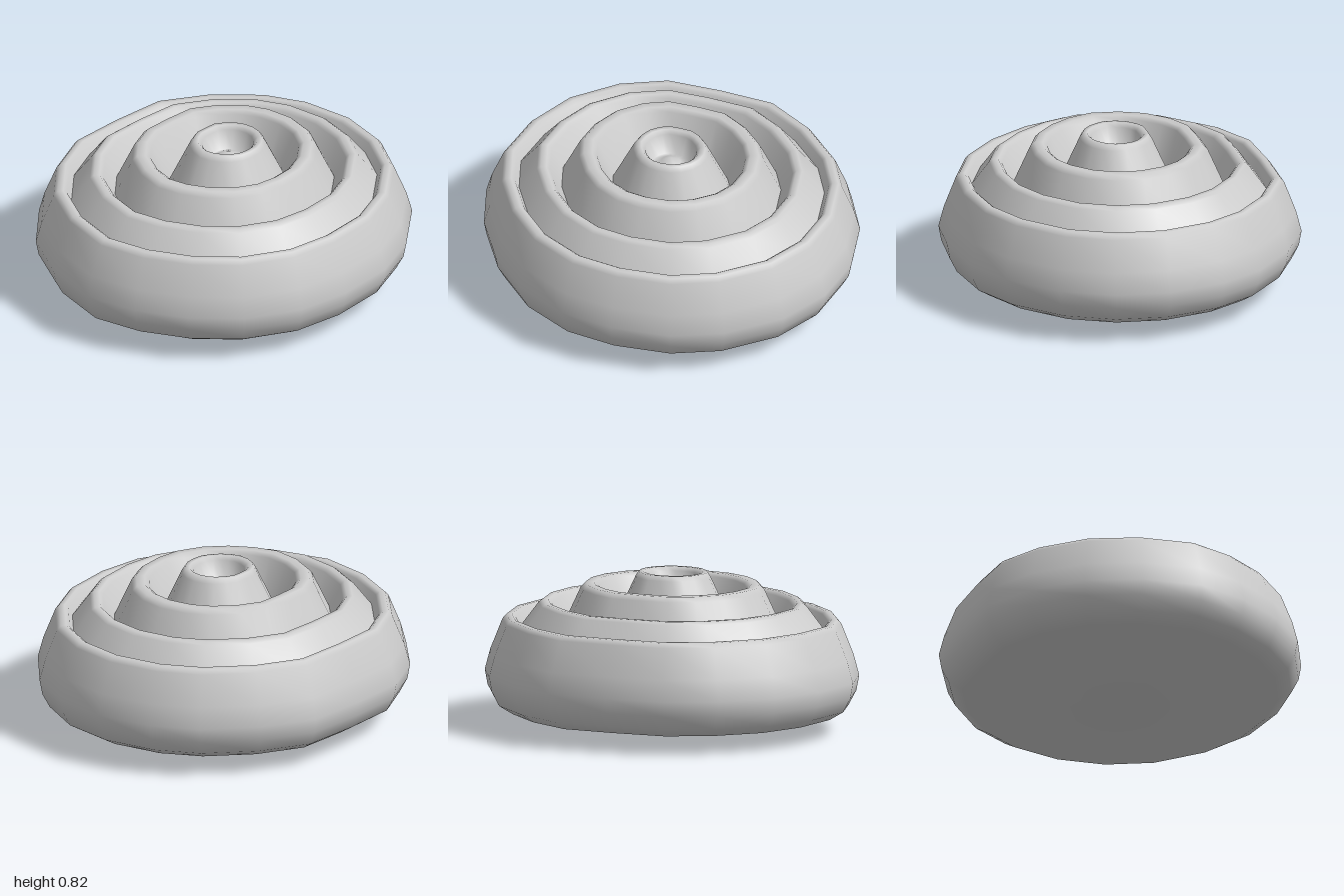
import * as THREE from 'three';
import { mergeVertices } from 'three/addons/utils/BufferGeometryUtils.js';

// Slightly irregular 20-sided plan outline [x, z], from the front round by +x
const OUTLINE = [
  [0, 0.945], [0.28, 0.89], [0.57, 0.76], [0.78, 0.57], [0.95, 0.28],
  [1, -0.01], [0.95, -0.3], [0.8, -0.57], [0.61, -0.75], [0.32, -0.89],
  [0.02, -0.95], [-0.3, -0.86], [-0.6, -0.75], [-0.81, -0.55], [-0.96, -0.27],
  [-1, 0.03], [-0.95, 0.35], [-0.79, 0.58], [-0.57, 0.77], [-0.31, 0.9],
];

// Sweep a [radius, y] profile round the outline, with one smooth seam
function sweep(profile, dx = 0, dz = 0) {
  const sides = OUTLINE.length;
  const points = profile.map(([r, y]) => new THREE.Vector2(r, y));
  const geo = new THREE.LatheGeometry(points, sides);
  const pos = geo.attributes.position;
  for (let i = 0; i <= sides; i++) {
    const [ox, oz] = OUTLINE[i % sides];
    profile.forEach(([r, y], j) => {
      pos.setXYZ(i * profile.length + j, r * ox + dx, y, r * oz + dz);
    });
  }
  geo.deleteAttribute('uv');
  geo.deleteAttribute('normal');
  const merged = mergeVertices(geo, 1e-5);
  merged.computeVertexNormals();
  return merged;
}

export function createModel() {
  const group = new THREE.Group();
  const material = new THREE.MeshStandardMaterial({ color: 0xcccccc, side: THREE.DoubleSide });
  const add = (name, geometry) => {
    const mesh = new THREE.Mesh(geometry, material);
    mesh.name = name;
    group.add(mesh);
  };

  // Shallow dished base, bulging side and thin rolled rim
  add('outerBowl', sweep([
    [0, 0], [0.2, 0.003], [0.45, 0.035], [0.65, 0.065], [0.87, 0.09],
    [0.945, 0.135], [0.985, 0.21], [1, 0.29], [0.97, 0.4], [0.905, 0.56],
    [0.885, 0.583], [0.855, 0.585], [0.835, 0.57], [0.79, 0.48],
  ]));

  // Stepped concentric ridges, their feet meeting in narrow grooves
  add('outerRidge', sweep([
    [0.83, 0.5], [0.715, 0.65], [0.695, 0.665], [0.665, 0.665], [0.645, 0.645], [0.55, 0.48],
  ], 0, 0.005));
  add('middleRidge', sweep([
    [0.6, 0.5], [0.49, 0.735], [0.465, 0.76], [0.42, 0.76], [0.395, 0.742], [0.28, 0.49],
  ], 0, 0.005));

  // Central crater with a low peak on its floor
  add('centralHub', sweep([
    [0.34, 0.5], [0.2, 0.795], [0.183, 0.82], [0.158, 0.82], [0.138, 0.8],
    [0.105, 0.7], [0.05, 0.725], [0, 0.75],
  ], 0.01, 0.02));

  return group;
}
